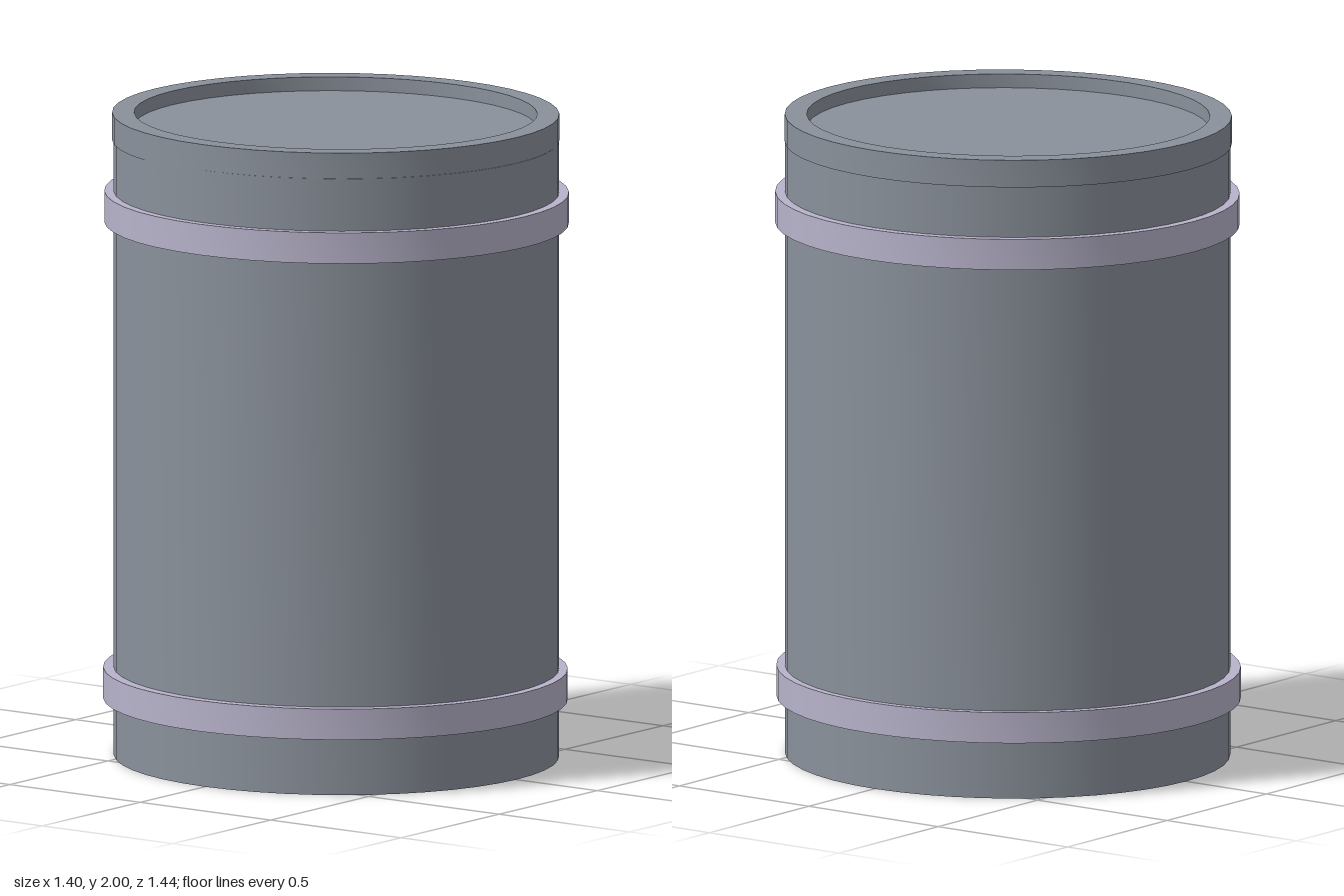
import * as THREE from 'three';
import { toCreasedNormals } from 'three/addons/utils/BufferGeometryUtils.js';

const SEGMENTS = 48;
const BODY_X = 0.67, BODY_Z = 0.69;

// Turns a [radius, y] profile (in units of the body radius) into a slightly oval solid with sharp rims
function turned(name, profile, material, x = 0, z = 0) {
  const points = profile.map(([r, y]) => new THREE.Vector2(r, y));
  const geometry = new THREE.LatheGeometry(points, SEGMENTS);
  geometry.scale(BODY_X, 1, BODY_Z);
  const mesh = new THREE.Mesh(toCreasedNormals(geometry, 0.6), material);
  mesh.name = name;
  mesh.position.set(x, 0, z);
  return mesh;
}

export function createModel() {
  const group = new THREE.Group();
  group.name = 'barrel';

  const steel = new THREE.MeshStandardMaterial({ color: 0x8a919b });
  steel.name = 'blue grey steel';
  const band = new THREE.MeshStandardMaterial({ color: 0xb8b3cb });
  band.name = 'pale lilac metal';

  // Closed drum up to the underside of the lid
  group.add(turned('body', [[0, 0], [1, 0], [1, 1.92], [0, 1.92]], steel));

  // Lid with a raised rim around a shallow sunken disc
  group.add(turned('lid', [
    [0, 1.915], [1.004, 1.915], [1.004, 2], [0.905, 2], [0.905, 1.957], [0, 1.957],
  ], steel, 0.003, -0.005));

  // Two hoops, each a closed rectangular ring
  const hoop = (name, y, x) => group.add(turned(name, [
    [0.98, y - 0.048], [1.043, y - 0.048], [1.043, y + 0.048], [0.98, y + 0.048],
  ], band, x));
  hoop('upperHoop', 1.709, 0.001);
  hoop('lowerHoop', 0.226, -0.005);

  return group;
}
